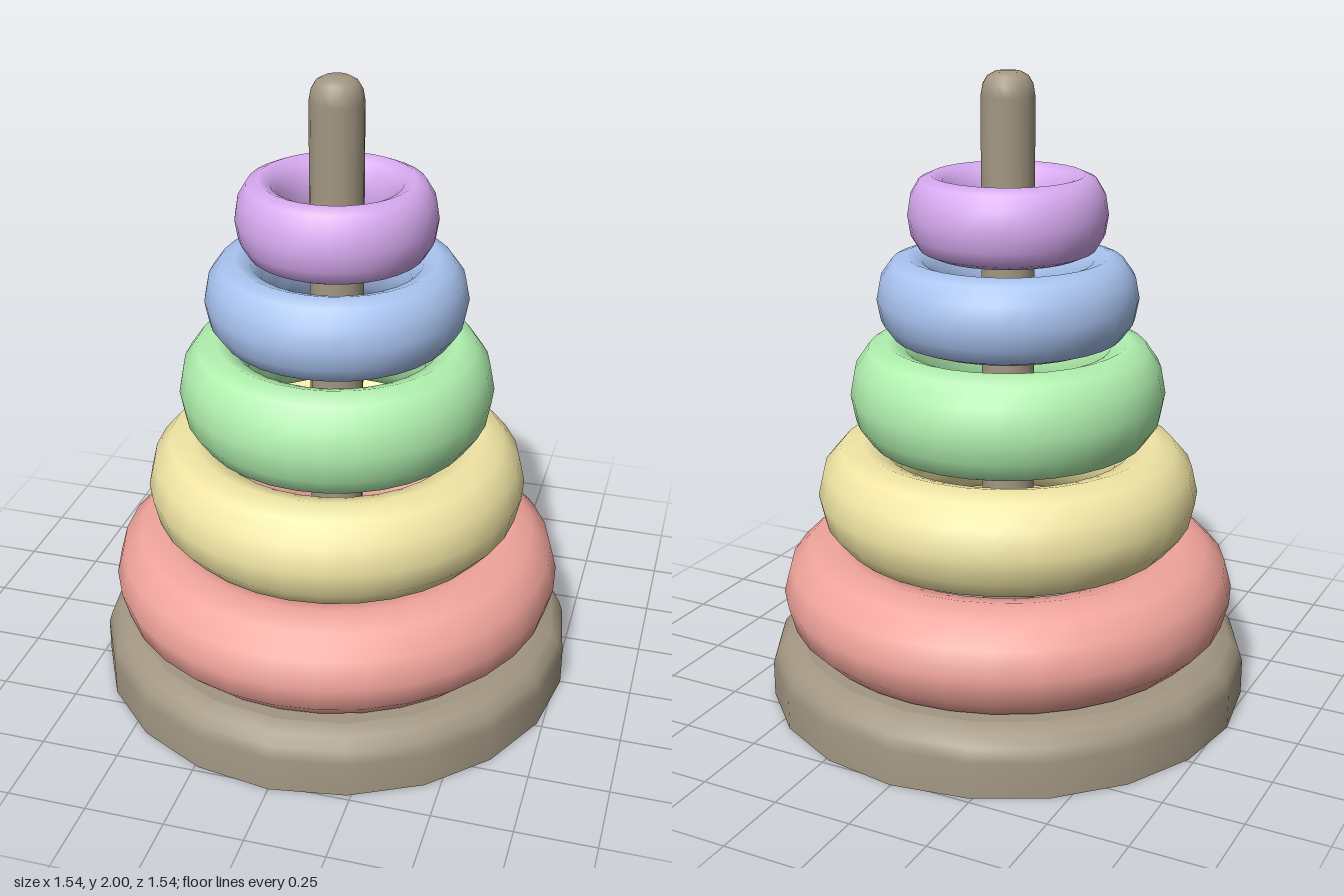
import * as THREE from 'three';

const mat = (color) => new THREE.MeshStandardMaterial({ color });

// Revolved solid; repeating a point in the profile keeps that edge sharp
function lathe(name, profile, sides, color) {
  const points = profile.map(([r, y]) => new THREE.Vector2(r, y));
  const mesh = new THREE.Mesh(new THREE.LatheGeometry(points, sides), mat(color));
  mesh.name = name;
  return mesh;
}

// Ring lying flat, its tube stretched to the given half height
function ring(name, outer, y, halfHeight, color) {
  const major = outer / 1.305;
  const tube = outer - major;
  const geometry = new THREE.TorusGeometry(major, tube, 12, 32);
  geometry.rotateX(-Math.PI / 2);
  geometry.scale(1, halfHeight / tube, 1);
  const mesh = new THREE.Mesh(geometry, mat(color));
  mesh.name = name;
  mesh.position.y = y;
  return mesh;
}

export function createModel() {
  const model = new THREE.Group();
  model.name = 'stackingRings';
  const wood = 0xa39783;

  // Round base with a softened upper rim
  model.add(lathe('base', [
    [0, 0], [0.77, 0], [0.77, 0], [0.77, 0.115], [0.757, 0.155],
    [0.728, 0.185], [0.68, 0.2], [0.68, 0.2], [0, 0.2],
  ], 20, wood));

  // Central post with a rounded tip
  model.add(lathe('post', [
    [0.083, 0.19], [0.083, 1.925], [0.077, 1.96], [0.063, 1.984],
    [0.04, 1.997], [0, 2],
  ], 20, wood));

  // Rings, from the largest to the smallest
  const rings = [
    ['redRing', 0.725, 0.353, 0.17, 0xf2a59c],
    ['yellowRing', 0.605, 0.677, 0.166, 0xf2e6a5],
    ['greenRing', 0.495, 1.005, 0.167, 0xb2f2b0],
    ['blueRing', 0.407, 1.308, 0.133, 0xaac5f2],
    ['purpleRing', 0.308, 1.568, 0.122, 0xd9abf2],
  ];
  for (const spec of rings) model.add(ring(...spec));

  return model;
}
